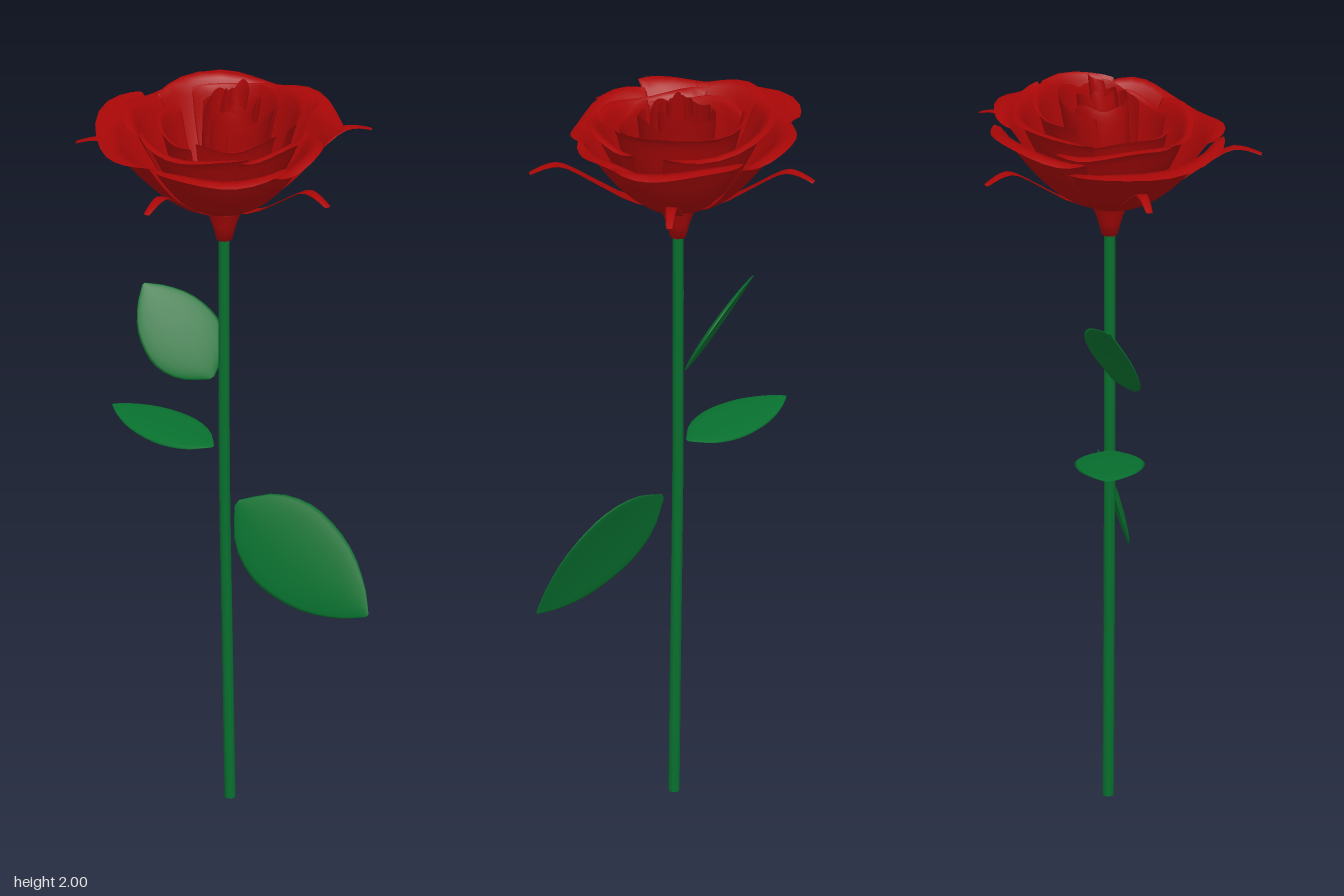
import * as THREE from 'three';

const red = new THREE.MeshStandardMaterial({ color: 0xa90707, side: THREE.DoubleSide });
const green = new THREE.MeshStandardMaterial({ color: 0x08702f, side: THREE.DoubleSide });
const CX = -0.027, CZ = -0.022; // flower axis

// Thin closed blade: point(s, v, k) runs around the section, s across (-1 to 1), k through its thickness
function blade(around, nv, point) {
  const pos = [], idx = [];
  for (let j = 0; j <= nv; j++) {
    for (let i = 0; i < around; i++) {
      const a = (i / around) * Math.PI * 2;
      pos.push(...point(Math.cos(a), j / nv, Math.sin(a)));
    }
  }
  for (let j = 0; j < nv; j++) {
    for (let i = 0; i < around; i++) {
      const a = j * around + i, b = j * around + (i + 1) % around;
      idx.push(a, b, a + around, b, b + around, a + around);
    }
  }
  const g = new THREE.BufferGeometry();
  g.setAttribute('position', new THREE.Float32BufferAttribute(pos, 3));
  g.setIndex(idx);
  g.computeVertexNormals();
  return g;
}

function part(parent, name, geometry, material) {
  const mesh = new THREE.Mesh(geometry, material);
  mesh.name = name;
  parent.add(mesh);
  return mesh;
}

const spline = (pts) => new THREE.SplineCurve(pts.map((p) => new THREE.Vector2(...p)));

// Petal profiles as fractions of (radius, height): open bowl with rolled lip, and upright cup
const openProfile = spline([[0, 0], [0.25, 0.1], [0.5, 0.37], [0.72, 0.72], [0.87, 0.98], [1, 0.98]]);
const cupProfile = spline([[0, 0], [0.55, 0.15], [0.85, 0.45], [0.97, 0.8], [1, 1]]);

function petal(angle, span, R, H, cup) {
  const mid = THREE.MathUtils.degToRad(angle), half = THREE.MathUtils.degToRad(span / 2);
  const base = 0.045 * (1 - 0.6 * cup);
  const thickness = 0.004 * (1 - 0.6 * cup);
  return blade(28, 10, (s, v, k) => {
    const t = v * (1 - 0.14 * Math.pow(Math.abs(s), 4)); // rounded top corners
    const p = openProfile.getPoint(t).lerp(cupProfile.getPoint(t), cup);
    const through = k * thickness * Math.sqrt(1 - v ** 6);
    const r = base + through + (R - base) * p.x * (1 + 0.05 * s + 0.025 * Math.sin(4 * s + angle) * t);
    const a = mid + s * half;
    const y = 1.67 - through + (H - 1.67) * p.y + 0.012 * t * t * Math.sin(3.5 * s + angle);
    return [CX + r * Math.cos(a) + 0.027 * cup * t, y, CZ + r * Math.sin(a) - 0.033 * cup * t];
  });
}

// Leaf: centre line from base to tip, half-width vector, and a slight cupping
const leafWidth = spline([[0, 0.08], [0.14, 0.68], [0.32, 0.98], [0.5, 1], [0.7, 0.82], [0.88, 0.44], [1, 0.04]]);

function leaf(base, tip, side, bend) {
  const a = new THREE.Vector3(...base), b = new THREE.Vector3(...tip), w = new THREE.Vector3(...side);
  const n = b.clone().sub(a).cross(w).normalize();
  return blade(16, 14, (s, v, k) => {
    const q = leafWidth.getPoint(v);
    return a.clone().lerp(b, q.x)
      .addScaledVector(w, s * q.y)
      .addScaledVector(n, bend * (Math.sin(Math.PI * v) - s * s * q.y) + 0.006 * k * Math.sqrt(q.y))
      .toArray();
  });
}

export function createModel() {
  const rose = new THREE.Group();
  rose.name = 'rose';

  // Stem with a closed foot
  const path = new THREE.CatmullRomCurve3([
    [-0.012, 0.003, -0.026], [-0.018, 0.4, -0.024], [-0.026, 0.9, -0.022], [CX, 1.3, CZ], [CX, 1.6, CZ],
  ].map((p) => new THREE.Vector3(...p)));
  part(rose, 'stem', new THREE.TubeGeometry(path, 16, 0.0145, 8), green);
  const foot = part(rose, 'stemFoot', new THREE.CylinderGeometry(0.0145, 0.0145, 0.01, 8), green);
  foot.position.set(-0.012, 0.005, -0.026);

  // Leaves
  part(rose, 'lowerLeaf', leaf([0.015, 0.838, -0.015], [0.395, 0.61, -0.022], [0.064, 0.102, -0.042], 0.009), green);
  part(rose, 'middleLeaf', leaf([-0.058, 0.978, -0.017], [-0.352, 1.025, -0.017], [0, 0, 0.088], 0.003), green);
  part(rose, 'upperLeaf', leaf([-0.056, 1.175, -0.01], [-0.258, 1.39, -0.012], [0.054, 0.044, -0.072], -0.006), green);

  // Flower base
  const calyx = part(rose, 'calyx', new THREE.LatheGeometry(
    [[0, 1.57], [0.021, 1.57], [0.031, 1.61], [0.045, 1.65], [0.055, 1.675], [0, 1.69]]
      .map((p) => new THREE.Vector2(...p)), 10), red);
  calyx.position.set(CX, 0, CZ);

  // Five narrow sepals arching out below the petals: direction, relative length
  const sepals = new THREE.Group();
  sepals.name = 'sepals';
  sepals.position.set(CX, 0, CZ);
  rose.add(sepals);
  const arch = spline([[0.045, 1.665], [0.13, 1.695], [0.22, 1.755], [0.3, 1.808], [0.345, 1.812], [0.39, 1.797]]);
  for (const [deg, length] of [[17, 1], [90, 0.99], [163, 0.99], [235, 0.96], [305, 1.05]]) {
    const sepal = part(sepals, 'sepal', blade(8, 12, (s, v, k) => {
      const p = arch.getPoint(v);
      return [p.x, p.y + 0.002 * k, s * (0.029 - 0.02 * v)];
    }), red);
    sepal.rotation.y = -THREE.MathUtils.degToRad(deg);
    sepal.scale.x = length;
  }

  // Petals from the outer whorl inward: angle, span, radius, height, uprightness
  const petals = new THREE.Group();
  petals.name = 'petals';
  rose.add(petals);
  [
    [-60, 74, 0.305, 1.885, 0], [-131, 76, 0.308, 1.885, 0], [150, 96, 0.33, 1.865, 0],
    [62, 84, 0.283, 1.855, 0], [-4, 70, 0.26, 1.85, 0],
    [-110, 124, 0.25, 1.915, 0.15], [172, 76, 0.268, 1.9, 0.1], [92, 100, 0.222, 1.88, 0.15], [14, 76, 0.228, 1.895, 0.15],
    [-75, 160, 0.185, 1.935, 0.4], [145, 100, 0.18, 1.89, 0.35], [48, 90, 0.155, 1.895, 0.4],
    [-100, 150, 0.105, 1.945, 0.8], [15, 110, 0.1, 1.935, 0.8],
    [175, 100, 0.085, 1.945, 0.9], [70, 110, 0.07, 1.94, 0.9],
    [-90, 160, 0.054, 1.955, 1], [30, 130, 0.046, 1.955, 1], [150, 120, 0.042, 1.965, 1],
    [-60, 200, 0.024, 1.99, 1], [120, 160, 0.02, 1.98, 1],
  ].forEach((p) => part(petals, 'petal', petal(...p), red));

  return rose;
}
